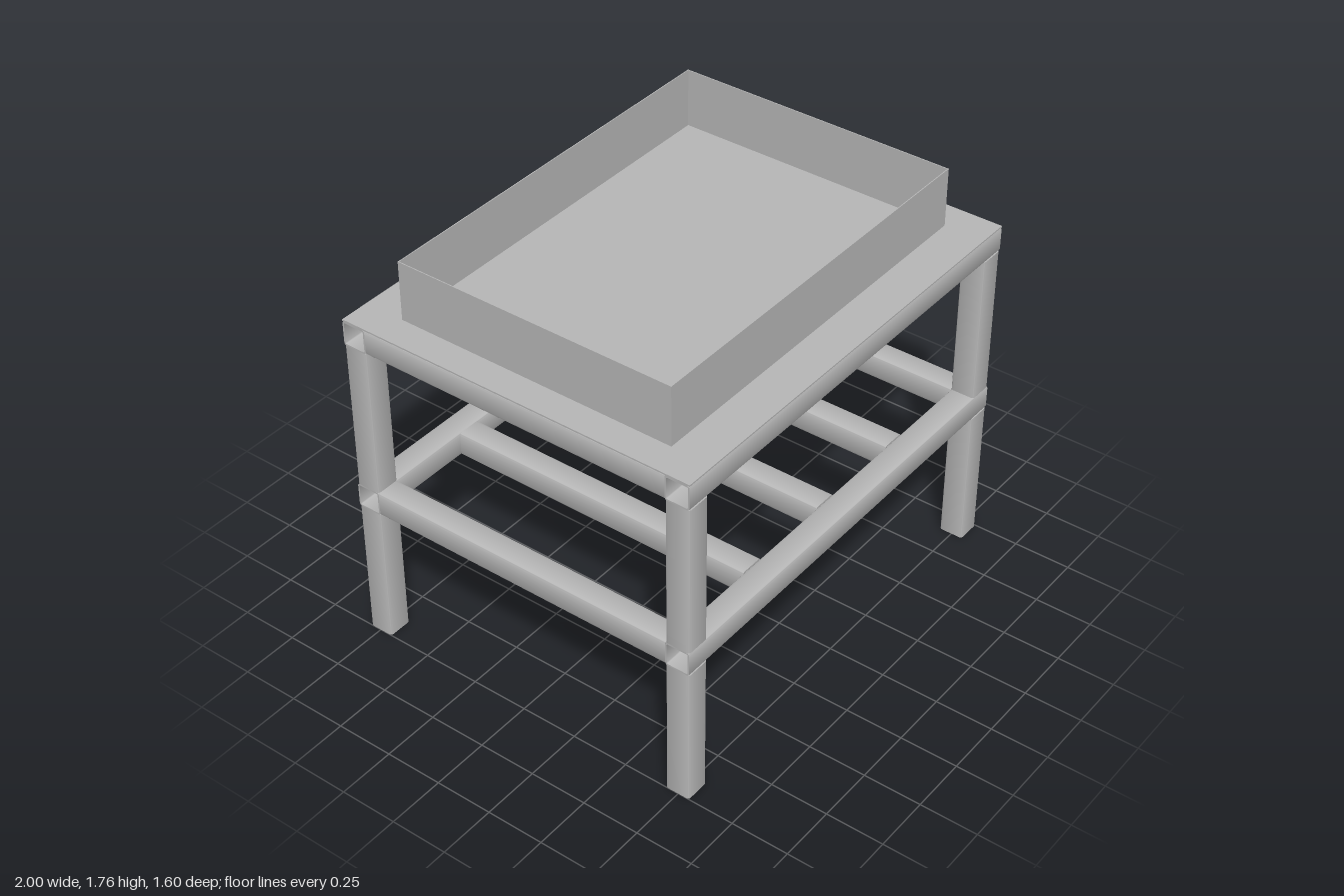
import * as THREE from 'three';
import { toCreasedNormals } from 'three/addons/utils/BufferGeometryUtils.js';

const TUBE = 0.108;  // outside width of the square tube
const WALL = 0.007;
const LOW = 0.624;   // underside of the lower frame
const HIGH = 1.39;   // underside of the upper frame
const X = 1 - TUBE / 2;
const Z = 0.8 - TUBE / 2;

// Rounded square outline, used for the outside and the bore of a tube
function roundedSquare(Type, size, r) {
  const h = size / 2;
  const s = new Type();
  s.moveTo(h, -h + r);
  s.lineTo(h, h - r);
  s.absarc(h - r, h - r, r, 0, Math.PI / 2);
  s.absarc(-h + r, h - r, r, Math.PI / 2, Math.PI);
  s.absarc(-h + r, -h + r, r, Math.PI, Math.PI * 1.5);
  s.absarc(h - r, -h + r, r, Math.PI * 1.5, Math.PI * 2);
  return s;
}

// Hollow square tube of the given length, centred, running along an axis
function tubeGeometry(length, axis) {
  const shape = roundedSquare(THREE.Shape, TUBE, 0.012);
  shape.holes.push(roundedSquare(THREE.Path, TUBE - 2 * WALL, 0.005));
  const g = new THREE.ExtrudeGeometry(shape, { depth: length, bevelEnabled: false, curveSegments: 4 });
  g.translate(0, 0, -length / 2);
  if (axis === 'x') g.rotateY(Math.PI / 2);
  if (axis === 'y') g.rotateX(Math.PI / 2);
  return toCreasedNormals(g, 0.6);
}

export function createModel() {
  const model = new THREE.Group();
  const steel = new THREE.MeshStandardMaterial({ color: 0xb8b8b8 });
  steel.name = 'grey steel';

  function add(name, geometry, x, y, z) {
    const mesh = new THREE.Mesh(geometry, steel);
    mesh.name = name;
    mesh.position.set(x, y, z);
    model.add(mesh);
  }

  const longRail = tubeGeometry(2, 'x');
  const crossRail = tubeGeometry(1.6 - 2 * TUBE, 'z');
  const lowerLeg = tubeGeometry(LOW, 'y');
  const upperLength = HIGH - LOW - TUBE;
  const upperLeg = tubeGeometry(upperLength, 'y');

  // Legs, interrupted by the long rails
  for (const sx of [-1, 1]) {
    for (const sz of [-1, 1]) {
      add('lowerLeg', lowerLeg, sx * X, LOW / 2, sz * Z);
      add('upperLeg', upperLeg, sx * X, LOW + TUBE + upperLength / 2, sz * Z);
    }
  }

  // Two rectangular frames
  for (const [name, base] of [['lower', LOW], ['upper', HIGH]]) {
    const y = base + TUBE / 2;
    for (const s of [-1, 1]) {
      add(name + 'LongRail', longRail, 0, y, s * Z);
      add(name + 'SideRail', crossRail, s * X, y, 0);
    }
  }

  // Shelf bars across the lower frame
  for (const i of [-1, 0, 1]) add('shelfBar', crossRail, i * X / 2, LOW + TUBE / 2, 0);

  // Table top sheet
  const top = HIGH + TUBE;
  const sheet = 0.007;
  add('tableTop', new THREE.BoxGeometry(2, sheet, 1.6), 0, top + sheet / 2, 0);

  // Open tray walls standing on the sheet
  const t = 0.004, w = 1.738, d = 1.244, base = top + sheet;
  const h = 1.762 - base;
  for (const s of [-1, 1]) {
    add('trayLongWall', new THREE.BoxGeometry(w, h, t), 0, base + h / 2, s * (d - t) / 2);
    add('traySideWall', new THREE.BoxGeometry(t, h, d - 2 * t), s * (w - t) / 2, base + h / 2, 0);
  }
  return model;
}
